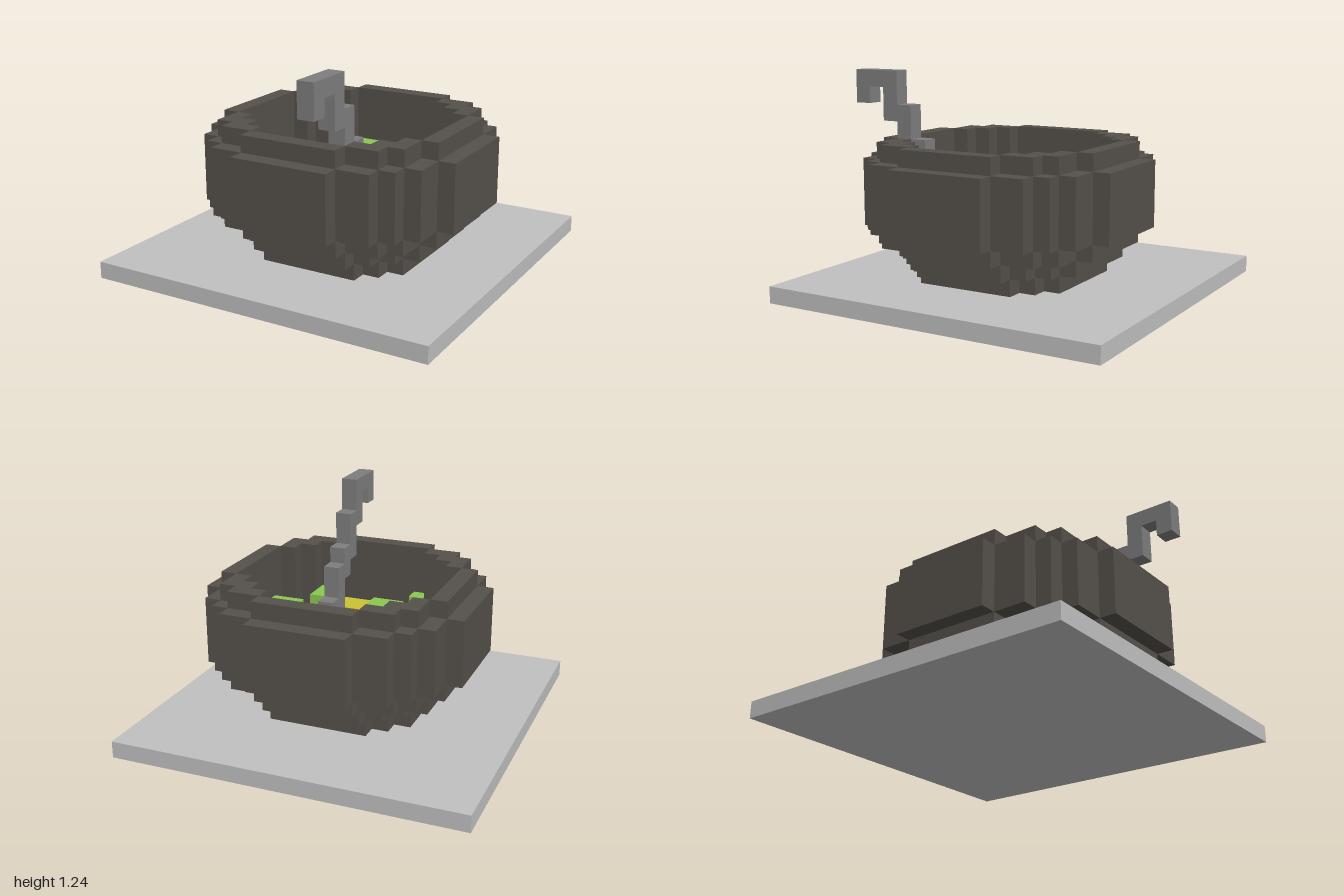
import * as THREE from 'three';

const U = 2 / 21; // one grid cell

const mat = (name, color) => {
  const m = new THREE.MeshStandardMaterial({ color });
  m.name = name;
  return m;
};

// Outer corners of one quadrant of each stepped disc, in cells from the centre
const RINGS = {
  5: [[5, 3], [4, 4], [3, 5]],
  6: [[6, 3], [5, 4], [4, 5], [3, 6]],
  7: [[7, 3], [6, 5], [5, 6], [3, 7]],
  8: [[8, 3], [7, 5], [6, 6], [5, 7], [3, 8]],
};

// Staircase outline: the quadrant repeated by four quarter turns
function outline(radius) {
  const quadrant = [];
  RINGS[radius].forEach(([x, y], i, list) => {
    quadrant.push([x, y]);
    if (list[i + 1]) quadrant.push([list[i + 1][0], y]);
  });
  const points = [];
  for (let turn = 0; turn < 4; turn++) {
    for (const [x, y] of quadrant) {
      const p = [[x, y], [-y, x], [-x, -y], [y, -x]][turn];
      points.push(new THREE.Vector2(p[0] * U, p[1] * U));
    }
  }
  return points;
}

// Stepped disc or ring between two layers, centred on the pot
function stepped(name, material, radius, y0, y1, hole) {
  const shape = new THREE.Shape(outline(radius));
  if (hole) shape.holes.push(new THREE.Path(outline(hole)));
  const geo = new THREE.ExtrudeGeometry(shape, { depth: (y1 - y0) * U, bevelEnabled: false });
  geo.rotateX(-Math.PI / 2);
  const mesh = new THREE.Mesh(geo, material);
  mesh.name = name;
  mesh.position.set(U / 2, y0 * U, U / 2);
  return mesh;
}

// Box between grid lines; x and z lines run 0..21 across the base
function block(name, material, x0, x1, y0, y1, z0, z1) {
  const geo = new THREE.BoxGeometry((x1 - x0) * U, (y1 - y0) * U, (z1 - z0) * U);
  const mesh = new THREE.Mesh(geo, material);
  mesh.name = name;
  mesh.position.set((x0 + x1) / 2 * U - 1, (y0 + y1) / 2 * U, (z0 + z1) / 2 * U - 1);
  return mesh;
}

export function createModel() {
  const stone = mat('base grey', 0xc0c0c0);
  const iron = mat('dark iron', 0x55504a);
  const steel = mat('ladle grey', 0x7e7e7e);
  const broth = mat('yellow broth', 0xc9c233);
  const meat = mat('brown meat', 0x8a5a33);
  const leaf = mat('green vegetable', 0x8bc84f);

  const model = new THREE.Group();
  model.name = 'stewPot';
  model.add(block('base', stone, 0, 21, 0, 1, 0, 21));

  // Pot: solid foot layers, then hollow walls and a narrower rim
  const pot = new THREE.Group();
  pot.name = 'pot';
  pot.add(
    stepped('potFoot', iron, 5, 1, 2),
    stepped('potLowerStep', iron, 6, 2, 3),
    stepped('potUpperStep', iron, 7, 3, 4),
    stepped('potWall', iron, 8, 4, 8, 6),
    stepped('potRim', iron, 7, 8, 9, 6),
  );
  model.add(pot);

  // Stew surface
  const stew = new THREE.Group();
  stew.name = 'stew';
  stew.add(stepped('broth', broth, 6, 4, 5));

  // Meat patches lying flush on the broth: x0, x1, z0, z1
  [
    [10, 13, 5, 7], [7, 8, 6, 9], [6, 7, 7, 8],
    [7, 8, 10, 13], [8, 9, 11, 13],
    [6, 8, 14, 15], [7, 8, 15, 16],
    [11, 14, 13, 15], [10, 12, 15, 16],
    [14, 15, 10, 14], [15, 16, 9, 10], [15, 16, 13, 14],
  ].forEach(([x0, x1, z0, z1]) => stew.add(block('meatPatch', meat, x0, x1, 5, 5.04, z0, z1)));

  // Vegetable chunks standing one cell above the broth
  [
    [8, 11, 6, 8], [13, 14, 5, 6], [10, 12, 9, 11],
    [13, 15, 8, 10], [15, 17, 10, 13], [5, 7, 10, 13],
    [9, 11, 13, 15], [8, 9, 16, 17], [14, 15, 14, 16],
  ].forEach(([x0, x1, z0, z1]) => stew.add(block('vegetableChunk', leaf, x0, x1, 5, 6, z0, z1)));
  model.add(stew);

  // Ladle: stepped handle climbing out of the pot and hooking over: y0, y1, z0, z1
  const ladle = new THREE.Group();
  ladle.name = 'ladle';
  [
    [5, 6, 13, 14], [5, 8, 14, 15], [7, 9, 15, 16],
    [8, 11, 16, 17], [10, 13, 17, 18], [12, 13, 18, 19], [11, 13, 19, 20],
  ].forEach(([y0, y1, z0, z1]) => ladle.add(block('ladleSegment', steel, 13, 14, y0, y1, z0, z1)));
  model.add(ladle);

  return model;
}
